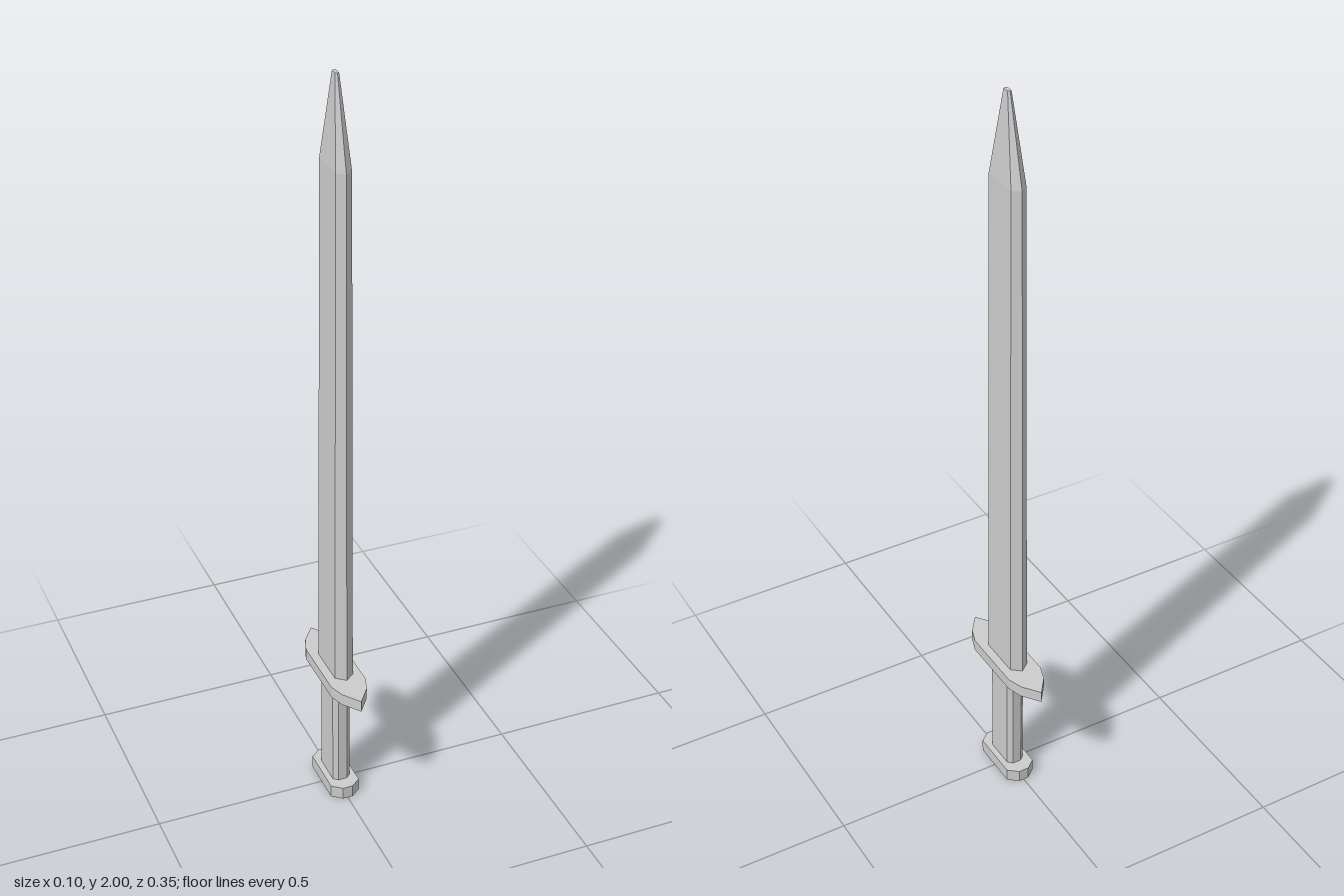
import * as THREE from 'three';

const material = new THREE.MeshStandardMaterial({ color: 0xcccccc, flatShading: true });

// Mirror a quarter outline [x, z] (from the +z end towards +x) into a full ring
function ring(quarter) {
  const half = [...quarter, ...quarter.map(([x, z]) => [x, -z]).reverse()];
  const other = half.filter(([x]) => x > 0).map(([x, z]) => [-x, z]).reverse();
  return [...half, ...other];
}

// Skin a stack of rings { y, outline } and cap both ends
function loft(name, sections) {
  const rings = sections.map(({ y, outline }) => ring(outline).map(([x, z]) => [x, y, z]));
  const n = rings[0].length;
  const positions = [];
  const tri = (a, b, c) => positions.push(...a, ...b, ...c);
  for (let s = 0; s < rings.length - 1; s++) {
    const lo = rings[s], hi = rings[s + 1];
    for (let i = 0; i < n; i++) {
      const j = (i + 1) % n;
      tri(lo[i], lo[j], hi[j]);
      tri(lo[i], hi[j], hi[i]);
    }
  }
  const bottom = rings[0], top = rings[rings.length - 1];
  for (let i = 1; i < n - 1; i++) {
    tri(bottom[0], bottom[i + 1], bottom[i]);
    tri(top[0], top[i], top[i + 1]);
  }
  const geometry = new THREE.BufferGeometry();
  geometry.setAttribute('position', new THREE.Float32BufferAttribute(positions, 3));
  geometry.computeVertexNormals();
  const mesh = new THREE.Mesh(geometry, material);
  mesh.name = name;
  return mesh;
}

const prism = (name, y0, y1, outline) => loft(name, [{ y: y0, outline }, { y: y1, outline }]);

export function createModel() {
  const sword = new THREE.Group();
  sword.name = 'sword';

  // Pommel and grip: bevelled bars
  sword.add(prism('pommel', 0, 0.035, [[0.014, 0.088], [0.04, 0.067]]));
  sword.add(prism('grip', 0.035, 0.35, [[0.012, 0.051], [0.024, 0.04]]));

  // Crossguard: plate with pointed ends
  sword.add(prism('crossguard', 0.35, 0.382, [[0, 0.175], [0.034, 0.13], [0.048, 0.09]]));

  // Blade: six-sided section, slightly tapered, then narrowing to a blunt tip
  sword.add(loft('blade', [
    { y: 0.382, outline: [[0, 0.078], [0.025, 0.058]] },
    { y: 1.78, outline: [[0, 0.065], [0.02, 0.05]] },
    { y: 2, outline: [[0, 0.012], [0.005, 0.009]] },
  ]));

  return sword;
}
